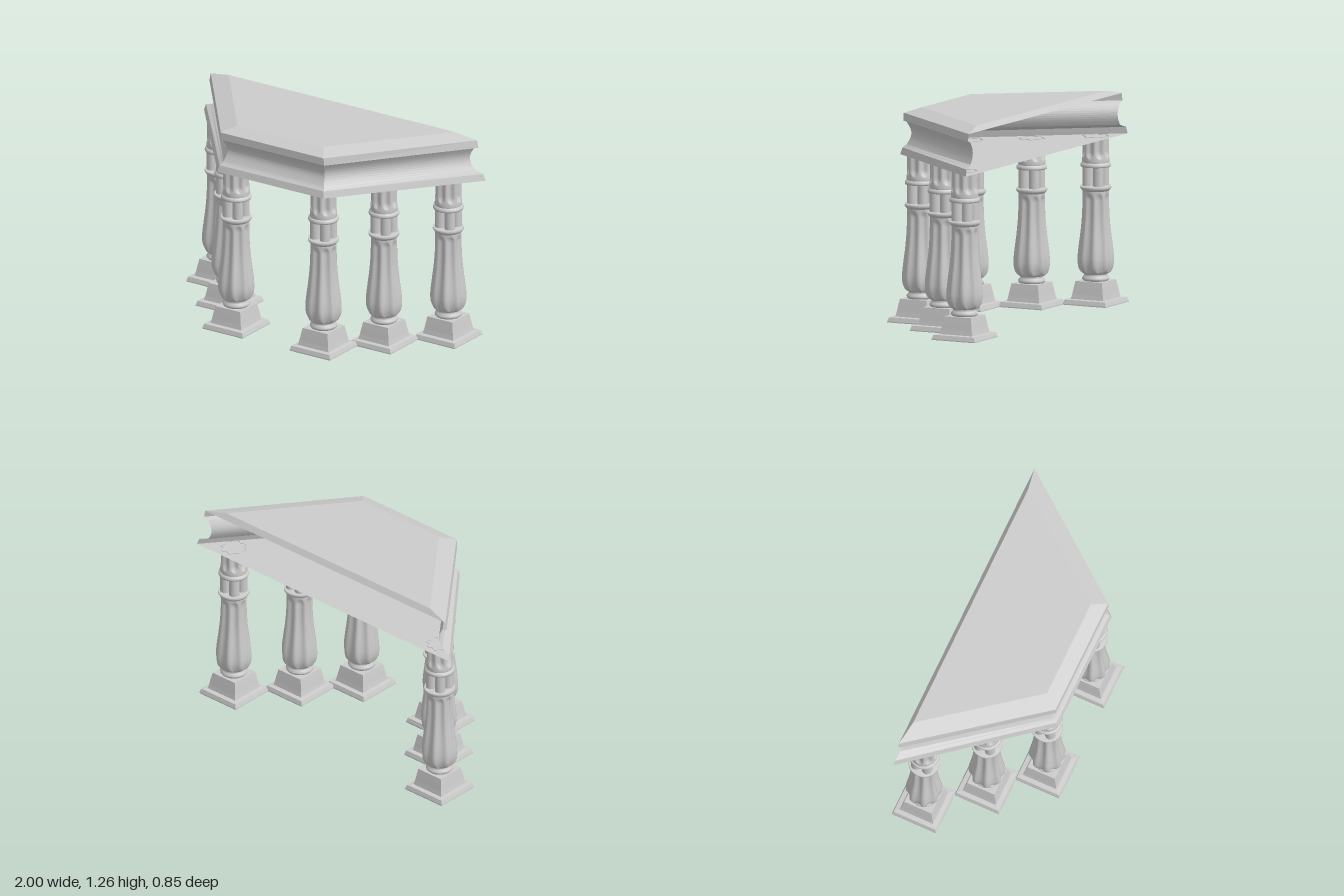
import * as THREE from 'three';

const grey = new THREE.MeshStandardMaterial({ color: 0xcccccc, side: THREE.DoubleSide });
const v2 = (pts) => pts.map(([r, y]) => new THREE.Vector2(r, y));

function mesh(name, geometry) {
  const m = new THREE.Mesh(geometry, grey);
  m.name = name;
  return m;
}

function flat(geometry) {
  const g = geometry.toNonIndexed();
  g.computeVertexNormals();
  return g;
}

// Lathe body with eight round-ended flutes cut between y0 and y1
function fluted(points, rows, y0, y1, depth, halfWidth, endLength) {
  const curve = new THREE.SplineCurve(v2(points));
  const g = new THREE.LatheGeometry(curve.getSpacedPoints(rows), 64);
  const p = g.attributes.position;
  const period = Math.PI / 4;
  for (let i = 0; i < p.count; i++) {
    const x = p.getX(i), y = p.getY(i), z = p.getZ(i);
    const r = Math.hypot(x, z);
    const angle = Math.atan2(x, z);
    const u = Math.abs(angle - Math.round(angle / period) * period);
    const end = THREE.MathUtils.clamp(Math.min(y - y0, y1 - y) / endLength, 0, 1);
    const w = halfWidth * Math.sqrt(1 - (1 - end) ** 2);
    if (w > 0 && u < w) {
      const k = (r - depth * Math.sqrt(1 - (u / w) ** 2) * Math.sqrt(end)) / r;
      p.setXYZ(i, x * k, y, z * k);
    }
  }
  g.computeVertexNormals();
  return g;
}

function lathe(points) {
  return new THREE.LatheGeometry(v2(points), 32);
}

// Square stepped pedestal, hollow from below
function pedestalGeometry() {
  const profile = [[0.143, 0], [0.143, 0.006], [0.135, 0.03], [0.108, 0.033], [0.102, 0.06],
    [0.095, 0.1], [0.088, 0.137], [0.05, 0.137]];
  const g = new THREE.LatheGeometry(v2(profile.map(([h, y]) => [h * Math.SQRT2, y])), 4);
  return flat(g.rotateY(Math.PI / 4));
}

const parts = {
  pedestal: pedestalGeometry(),
  neckRing: lathe([[0.072, 0.136], [0.079, 0.144], [0.08, 0.154], [0.071, 0.165], [0.067, 0.172], [0.07, 0.185]]),
  flutedVase: fluted([[0.06, 0.174], [0.083, 0.185], [0.1, 0.21], [0.107, 0.25], [0.105, 0.3], [0.098, 0.36],
    [0.088, 0.44], [0.081, 0.52], [0.078, 0.6], [0.077, 0.675]], 48, 0.18, 0.655, 0.013, 0.25, 0.03),
  lowerCollar: lathe([[0.076, 0.668], [0.087, 0.678], [0.092, 0.687], [0.09, 0.7], [0, 0.7]]),
  upperCollar: lathe([[0, 0.812], [0.088, 0.812], [0.091, 0.82], [0.088, 0.832], [0.078, 0.838]]),
  flutedDrum: fluted([[0.078, 0.832], [0.08, 0.85], [0.077, 0.9], [0.077, 0.95], [0.078, 0.993]],
    24, 0.865, 1.1, 0.015, 0.24, 0.03),
};
const colonnette = new THREE.CylinderGeometry(0.031, 0.031, 0.116, 16, 1, true).translate(0, 0.756, 0);

function createBaluster() {
  const group = new THREE.Group();
  for (const [name, geometry] of Object.entries(parts)) group.add(mesh(name, geometry));
  // Cluster of four slim shafts between the collars
  for (const sx of [-1, 1]) for (const sz of [-1, 1]) {
    const shaft = mesh('colonnette', colonnette);
    shaft.position.set(sx * 0.035, 0, sz * 0.035);
    group.add(shaft);
  }
  return group;
}

// Trapezoid outline: back-left, front-left, front-right, back-right
const ring = ([y, bx, bz, fx, fz]) => [[-bx, y, bz], [-fx, y, fz], [fx, y, fz], [bx, y, bz]];

function surface(quads) {
  const pos = [];
  for (const [a, b, c, d] of quads) pos.push(...a, ...b, ...c, ...a, ...c, ...d);
  const g = new THREE.BufferGeometry();
  g.setAttribute('position', new THREE.Float32BufferAttribute(pos, 3));
  g.computeVertexNormals();
  return g;
}

// Join successive outlines along the front and the two slanted sides
function skin(levels, closed) {
  const rings = levels.map(ring);
  const quads = [];
  for (let j = 0; j + 1 < rings.length; j++) {
    for (let i = 0; i < (closed ? 4 : 3); i++) {
      const n = (i + 1) % 4;
      quads.push([rings[j][i], rings[j][n], rings[j + 1][n], rings[j + 1][i]]);
    }
  }
  return quads;
}

function createTop() {
  const group = new THREE.Group();
  group.name = 'tabletop';
  const foot = [0.99, 1.0, -0.395, 0.375, 0.378];
  const rim = [1.235, 0.945, -0.385, 0.365, 0.36];
  const crown = [1.265, 0.8, -0.36, 0.305, 0.275];

  // Hollowed frieze, open at the back
  const frieze = [];
  for (let i = 0; i <= 10; i++) {
    const t = i / 10;
    const dip = Math.sin(Math.PI * t);
    frieze.push([1.05 + 0.13 * t, 0.923 - 0.028 * dip, -0.385, 0.357 - 0.012 * dip, 0.345 - 0.025 * dip]);
  }
  group.add(mesh('lowerMoulding', surface(skin([foot, [1.03, 0.985, -0.393, 0.37, 0.366],
    [1.04, 0.95, -0.388, 0.363, 0.354], frieze[0]]))));
  group.add(mesh('frieze', surface(skin(frieze))));
  group.add(mesh('upperRim', surface(skin([frieze[10], [1.185, 0.938, -0.385, 0.36, 0.352],
    [1.19, 0.955, -0.385, 0.37, 0.361], rim]))));
  group.add(mesh('topBevel', surface(skin([rim, crown], true))));
  group.add(mesh('topPanel', surface([ring(crown)])));
  group.add(mesh('bottomPanel', surface([ring(foot).reverse()])));
  return group;
}

export function createModel() {
  const model = new THREE.Group();
  model.name = 'trapezoidTable';
  model.add(createTop());
  // Three balusters under each slanted side
  for (const side of [-1, 1]) {
    for (const [x, z, place] of [[0.31, 0.28, 'front'], [0.548, 0, 'middle'], [0.81, -0.285, 'back']]) {
      const leg = createBaluster();
      leg.name = place + (side > 0 ? 'LeftBaluster' : 'RightBaluster');
      leg.position.set(side * x, 0, z);
      model.add(leg);
    }
  }
  return model;
}
